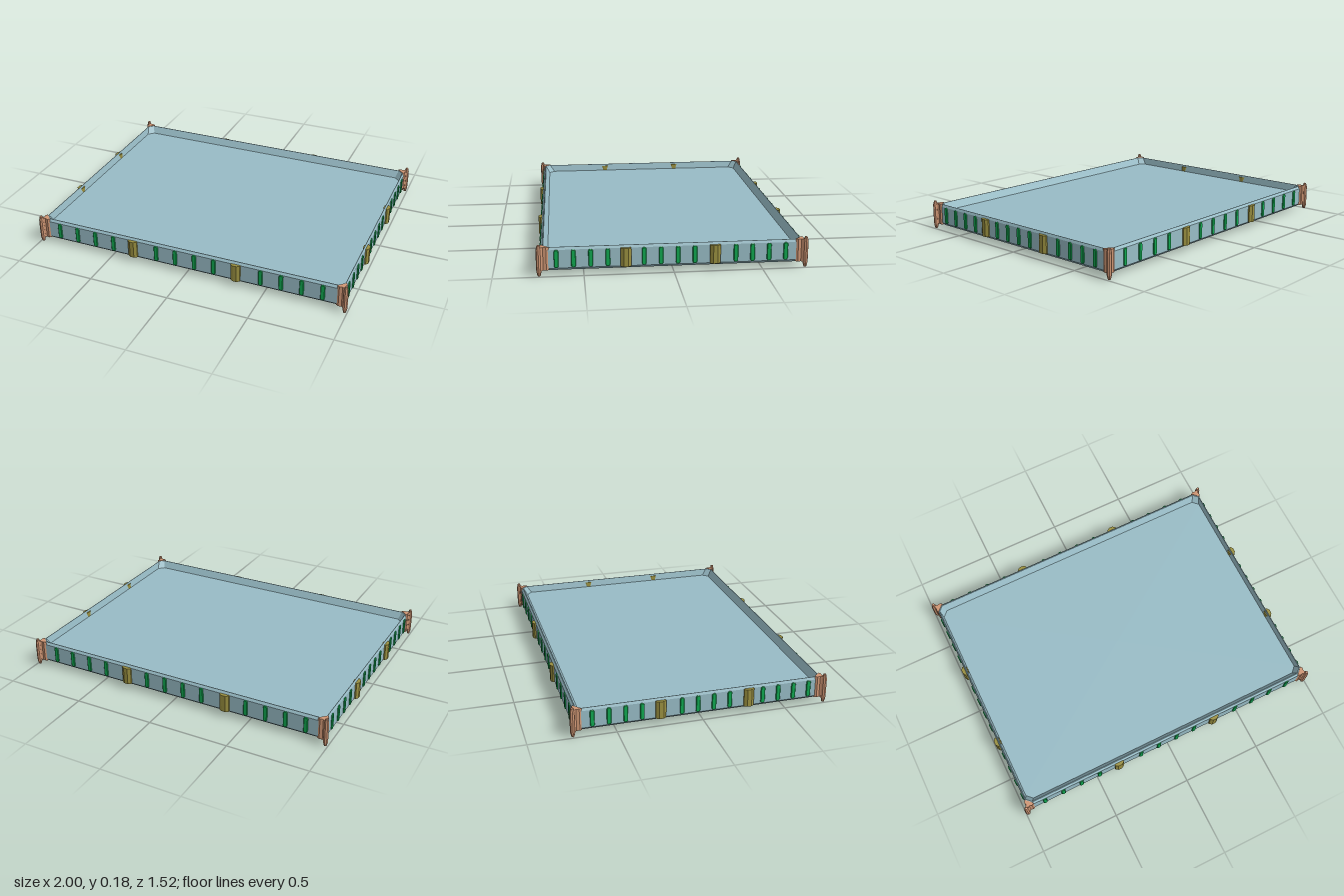
import * as THREE from 'three';

const mat = (color) => new THREE.MeshStandardMaterial({ color, flatShading: true });
const blue = mat(0x98bcc6), copper = mat(0xcf9674), green = mat(0x10a850), gold = mat(0x9a9040);

// Rectangle with cut corners, as a loop of eight points at height y
function ring([hx, hz, c, y]) {
  return [
    [hx, y, -hz + c], [hx, y, hz - c], [hx - c, y, hz], [-hx + c, y, hz],
    [-hx, y, hz - c], [-hx, y, -hz + c], [-hx + c, y, -hz], [hx - c, y, -hz],
  ];
}

// Skin between successive rings, closed by a cap at each end
function loft(sections) {
  const rings = sections.map(ring), pos = [];
  const tri = (a, b, c) => pos.push(...a, ...b, ...c);
  for (let k = 0; k < rings.length - 1; k++) {
    for (let i = 0; i < 8; i++) {
      const j = (i + 1) % 8, lo = rings[k], hi = rings[k + 1];
      tri(lo[i], hi[i], hi[j]);
      tri(lo[i], hi[j], lo[j]);
    }
  }
  const first = rings[0], last = rings[rings.length - 1];
  for (let i = 0; i < 8; i++) {
    const j = (i + 1) % 8;
    tri([0, first[0][1], 0], first[i], first[j]);
    tri([0, last[0][1], 0], last[j], last[i]);
  }
  const g = new THREE.BufferGeometry();
  g.setAttribute('position', new THREE.Float32BufferAttribute(pos, 3));
  g.computeVertexNormals();
  return g;
}

const shapeOf = (pts) => new THREE.Shape(pts.map(([x, y]) => new THREE.Vector2(x, y)));

function add(parent, name, geometry, material, x = 0, y = 0, z = 0) {
  const m = new THREE.Mesh(geometry, material);
  m.name = name;
  m.position.set(x, y, z);
  parent.add(m);
  return m;
}

export function createModel() {
  const model = new THREE.Group();
  model.name = 'tray';

  // Tray: bevelled underside, upright walls, bevelled rim and sunken floor
  add(model, 'trayBody', loft([
    [0.96, 0.72, 0.03, 0.025],
    [0.975, 0.735, 0.03, 0.04],
    [0.975, 0.735, 0.03, 0.145],
    [0.968, 0.724, 0.03, 0.16],
    [0.965, 0.72, 0.03, 0.16],
    [0.955, 0.695, 0.035, 0.115],
  ]), blue);

  // Corner bracket: a flared fin, local x pointing outwards
  const finGeo = new THREE.ExtrudeGeometry(shapeOf([
    [-0.012, -0.03], [0.004, -0.026], [0.014, -0.011], [0.036, -0.008],
    [0.036, 0.008], [0.014, 0.011], [0.004, 0.026], [-0.012, 0.03],
  ]), { depth: 0.133, bevelEnabled: false });
  finGeo.rotateX(-Math.PI / 2);

  // Corner post: slim and tapered at both ends
  const postGeo = new THREE.LatheGeometry([
    [0, 0], [0.008, 0.002], [0.014, 0.025], [0.015, 0.05],
    [0.015, 0.13], [0.014, 0.155], [0.008, 0.178], [0, 0.18],
  ].map(([x, y]) => new THREE.Vector2(x, y)), 8);

  for (const sx of [-1, 1]) {
    for (const sz of [-1, 1]) {
      const corner = new THREE.Group();
      corner.name = (sz > 0 ? 'front' : 'back') + (sx > 0 ? 'Left' : 'Right') + 'Corner';
      corner.position.set(sx * 0.96, 0, sz * 0.72);
      corner.rotation.y = -Math.atan2(sz, sx);
      add(corner, 'bracket', finGeo, copper, 0, 0.03, 0);
      add(corner, 'post', postGeo, copper, 0.036, 0, 0);
      model.add(corner);
    }
  }

  // Narrow rib with clipped ends
  const ribGeo = new THREE.ExtrudeGeometry(shapeOf([
    [-0.013, -0.042], [-0.007, -0.051], [0.007, -0.051], [0.013, -0.042],
    [0.013, 0.042], [0.007, 0.051], [-0.007, 0.051], [-0.013, 0.042],
  ]), { depth: 0.012, bevelEnabled: true, bevelSegments: 1, bevelSize: 0.003, bevelOffset: -0.003, bevelThickness: 0.003 });

  // Wide faceted clasp, half sunk into the wall
  const claspGeo = new THREE.CylinderGeometry(0.032, 0.032, 0.107, 8);
  claspGeo.rotateY(Math.PI / 8);
  claspGeo.scale(1, 1, 0.68);

  // One row of ribs and clasps per wall; local z points out of the wall
  function wall(name, angle, distance, ribs, clasps) {
    const g = new THREE.Group();
    g.name = name;
    g.rotation.y = angle;
    for (const x of ribs) add(g, 'rib', ribGeo, green, x, 0.094, distance - 0.008);
    for (const x of clasps) add(g, 'clasp', claspGeo, gold, x, 0.093, distance);
    model.add(g);
  }

  const row = (starts, step, count) =>
    starts.flatMap((s) => Array.from({ length: count }, (_, i) => s + i * step));
  const longRibs = row([-0.86, -0.195, 0.475], 0.125, 4);
  const sideRibs = row([-0.65, -0.165, 0.35], 0.0945, 4);
  const flip = (list) => list.map((v) => -v);

  wall('frontTrim', 0, 0.735, longRibs, [-0.35, 0.32]);
  wall('backTrim', Math.PI, 0.735, flip(longRibs), [0.35, -0.32]);
  wall('leftTrim', Math.PI / 2, 0.975, sideRibs, [-0.267, 0.233]);
  wall('rightTrim', -Math.PI / 2, 0.975, flip(sideRibs), [0.28, -0.243]);

  return model;
}
